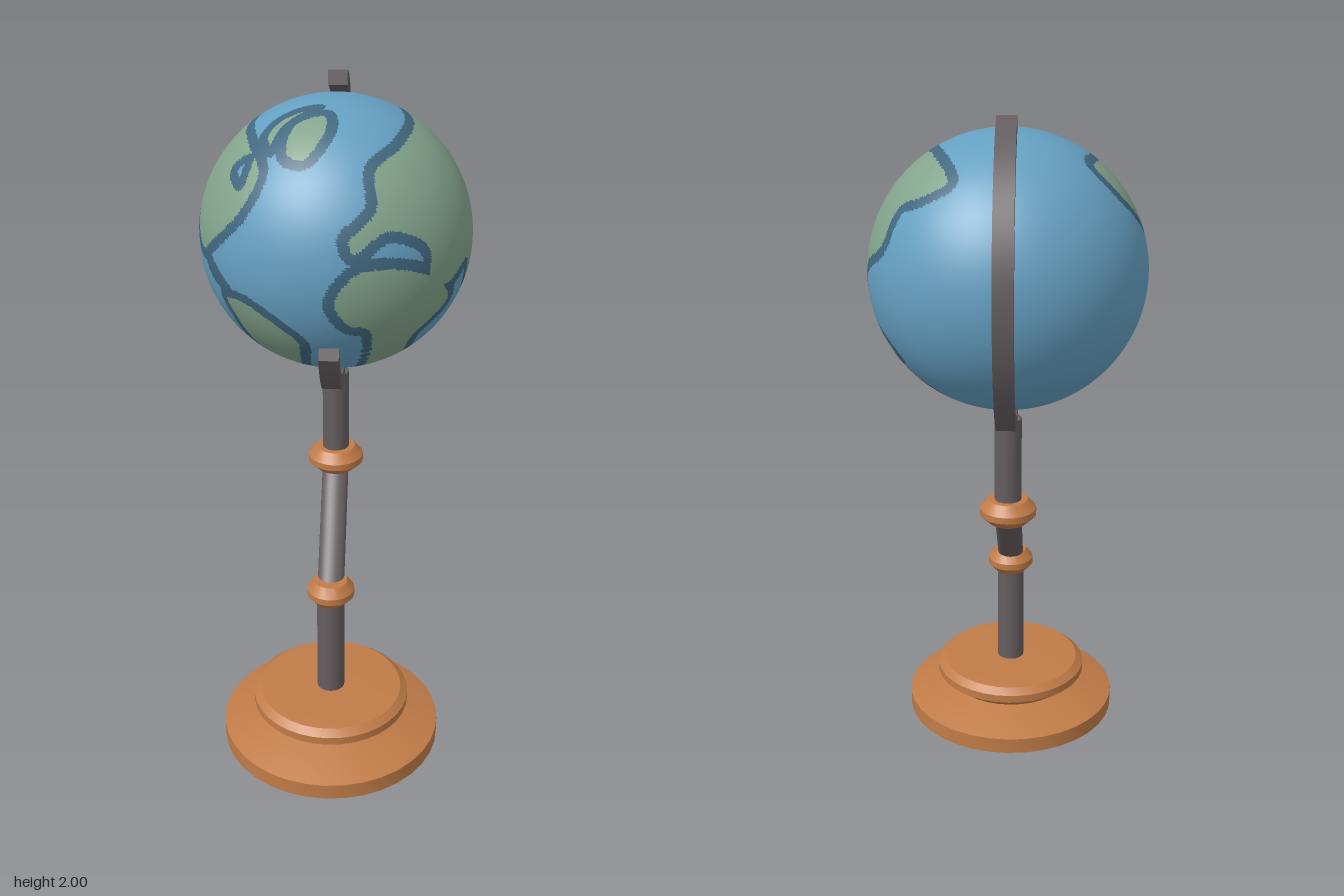
import * as THREE from 'three';
import { toCreasedNormals } from 'three/addons/utils/BufferGeometryUtils.js';

const material = (name, color) => Object.assign(new THREE.MeshStandardMaterial({ color }), { name });

// Points on the unit sphere, given in percent of the radius as seen from the front, the +x side or the top
const rest = (a, b) => Math.sqrt(Math.max(0, 1 - a * a - b * b));
const lift = (place) => (...pairs) => pairs.map(([a, b]) => place(a / 100, b / 100).normalize());
const front = lift((x, y) => new THREE.Vector3(x, y, rest(x, y)));
const side = lift((z, y) => new THREE.Vector3(rest(z, y), y, z));
const top = lift((x, z) => new THREE.Vector3(x, rest(x, z), z));

const lands = [
  // north-western continent
  [...top([-77, -27], [-56, -24], [-60, 5], [-54, 38], [-46, 62]),
    ...front([-60, 36], [-84, 7], [-92, -3]), ...top([-98, 13])],
  // land bridge
  front([-90, 2], [-68, -24], [-84, -14]),
  // south-western continent
  front([-76, -26], [-56, -24], [-20, -50], [-18, -68], [-24, -92], [-52, -74], [-68, -47]),
  // northern islands
  top([-28, 34], [-4, 29], [-1, 47], [-18, 68], [-33, 60]),
  top([-48, 36], [-36, 23], [-10, 20], [-32, 36], [-42, 52]),
  // southern continent
  front([16, 8], [0, -16], [12, -38], [24, -42], [21, -92], [45, -86], [60, -55], [84, -30], [68, 0], [40, 11]),
  // great eastern continent
  [...top([26, 68], [43, 44], [52, 8], [47, -18], [35, -59], [56, -57]),
    ...side([-48, 53], [-49, 26], [-20, 4], [-8, -29], [4, -11], [22, -28], [32, -10], [56, -20], [75, -10]),
    ...front([65, 14], [40, 28], [16, 15], [9, 28], [27, 46])],
  // south-eastern islands
  side([7, -33], [-34, -39], [-42, -54], [-8, -47]),
  side([-13, -80], [-26, -69], [-38, -74], [-26, -91]),
];
const bay = top([-68, 43], [-57, 46], [-63, 57]);

// Smooth closed outline with a tangent plane around its middle
function outline(points) {
  const rim = new THREE.CatmullRomCurve3(points, true, 'centripetal')
    .getPoints(points.length * 12).slice(0, -1).map((p) => p.normalize());
  const mid = rim.reduce((s, p) => s.add(p), new THREE.Vector3()).normalize();
  const u = new THREE.Vector3(mid.y, -mid.x, 0).normalize();
  const v = new THREE.Vector3().crossVectors(mid, u);
  return { rim, mid, u, v, flat: rim.map((p) => [p.dot(u), p.dot(v)]) };
}

// Distance to an outline on the sphere, positive inside
function depth(o, p) {
  if (p.dot(o.mid) < 0.05) return -1;
  const a = p.dot(o.u), b = p.dot(o.v);
  let inside = false, nearest = 4;
  for (let i = 0, j = o.flat.length - 1; i < o.flat.length; j = i++) {
    const [ax, ay] = o.flat[i], [bx, by] = o.flat[j];
    if ((ay > b) !== (by > b) && a < ((bx - ax) * (b - ay)) / (by - ay) + ax) inside = !inside;
    nearest = Math.min(nearest, p.distanceToSquared(o.rim[i]));
  }
  return Math.sqrt(nearest) * (inside ? 1 : -1);
}

// Fine sphere whose triangles are sorted into ocean, coast and land
function globeGeometry(radius) {
  const geo = new THREE.SphereGeometry(radius, 300, 180);
  const landOutlines = lands.map(outline), bayOutline = outline(bay);
  const pos = geo.attributes.position, index = geo.index.array;
  const buckets = [[], [], []];
  const c = new THREE.Vector3(), q = new THREE.Vector3();
  for (let i = 0; i < index.length; i += 3) {
    c.set(0, 0, 0);
    for (let k = 0; k < 3; k++) c.add(q.fromBufferAttribute(pos, index[i + k]));
    c.normalize();
    let d = -depth(bayOutline, c);
    d = Math.min(d, Math.max(...landOutlines.map((o) => depth(o, c))));
    const kind = d > 0.04 ? 2 : d > -0.04 ? 1 : 0;
    buckets[kind].push(index[i], index[i + 1], index[i + 2]);
  }
  geo.setIndex(buckets.flat());
  let start = 0;
  buckets.forEach((b, m) => { geo.addGroup(start, b.length, m); start += b.length; });
  return geo;
}

export function createModel() {
  const model = new THREE.Group();
  model.name = 'deskGlobe';
  const ocean = material('ocean blue', 0x65a0c2);
  const coast = material('coast blue', 0x41677f);
  const land = material('land green', 0x83a48c);
  const wood = material('warm wood', 0xc07b47);
  const metal = material('dark metal', 0x655d5f);

  const add = (name, geo, mat, y, z) => {
    const mesh = new THREE.Mesh(geo, mat);
    mesh.name = name;
    mesh.position.set(0, y, z);
    model.add(mesh);
  };
  const turned = (profile) => toCreasedNormals(
    new THREE.LatheGeometry(profile.map(([r, y]) => new THREE.Vector2(r, y)), 36), 0.6);

  const baseZ = 0.2, globeZ = -0.09, globeY = 1.56;

  // Turned wooden foot
  add('base', turned([[0, 0], [0.335, 0], [0.335, 0.05], [0.27, 0.073], [0.2, 0.093], [0.24, 0.125],
    [0.24, 0.15], [0.218, 0.168], [0.18, 0.17], [0, 0.17]]), wood, 0, baseZ);

  // Stem: lower post, slanted arm, upper post
  const post = (r, h) => new THREE.CylinderGeometry(r, r, h, 28);
  add('lowerPost', post(0.042, 0.34), metal, 0.33, baseZ);
  const armHeight = 0.27, lean = (globeZ - baseZ) / armHeight;
  const arm = post(0.04, armHeight);
  arm.applyMatrix4(new THREE.Matrix4().makeShear(0, 0, 0, lean, 0, 0));
  add('slantedArm', arm, metal, 0.675, (baseZ + globeZ) / 2);
  add('upperPost', post(0.04, 0.29), metal, 0.975, globeZ);

  // Wooden collars at the two joints
  const collar = (r) => turned([[0, 0], [r * 0.66, 0], [r, 0.027], [r, 0.047], [r * 0.7, 0.075], [0, 0.075]]);
  add('lowerCollar', collar(0.071), wood, 0.485, baseZ);
  add('upperCollar', collar(0.084), wood, 0.79, globeZ);

  // Open bracket curving behind and below the globe
  const from = THREE.MathUtils.degToRad(103), to = THREE.MathUtils.degToRad(330);
  const arc = new THREE.Shape();
  arc.absarc(0, 0, 0.45, from, to, false);
  arc.absarc(0, 0, 0.408, to, from, true);
  const bracket = new THREE.ExtrudeGeometry(arc, { depth: 0.055, bevelEnabled: false, curveSegments: 36 });
  bracket.translate(0, 0, -0.0275);
  bracket.rotateY(-Math.PI / 2);
  add('bracket', toCreasedNormals(bracket, 0.6), metal, globeY, globeZ + 0.003);

  // Globe with ocean, coastline and land
  add('globe', globeGeometry(0.39), [ocean, coast, land], globeY, globeZ);
  return model;
}
